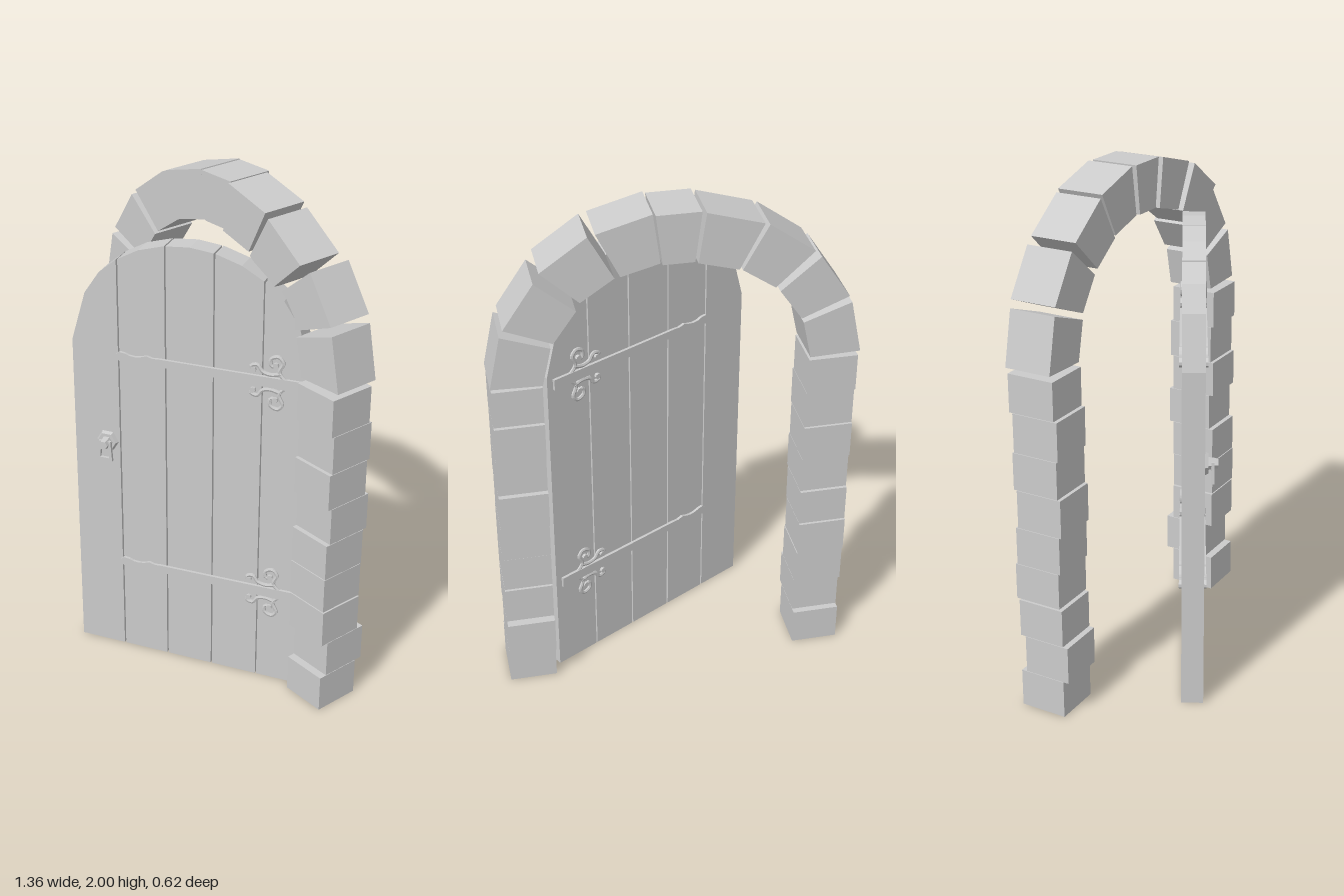
import * as THREE from 'three';

const material = new THREE.MeshStandardMaterial({ color: 0xcccccc, flatShading: true });
const SPRING = 1.36, DOOR_T = 0.085, DOOR_W = 0.955;

function add(parent, name, geometry, x = 0, y = 0, z = 0) {
  const mesh = new THREE.Mesh(geometry, material);
  mesh.name = name;
  mesh.position.set(x, y, z);
  parent.add(mesh);
  return mesh;
}

// Flat outline given as [x, y] corners, pushed out along +z
function slab(points, depth, hole) {
  const toV = (p) => new THREE.Vector2(p[0], p[1]);
  const shape = new THREE.Shape(points.map(toV));
  if (hole) shape.holes.push(new THREE.Path(hole.map(toV)));
  return new THREE.ExtrudeGeometry(shape, { depth, bevelEnabled: false });
}

function createPiers() {
  const piers = new THREE.Group();
  piers.name = 'piers';
  const levels = [0, 0.152, 0.304, 0.456, 0.606, 0.756, 0.908, 1.056, 1.21, SPRING];
  // front face z of each stone, from the ground up
  const fronts = {
    left: [-0.095, -0.125, -0.095, -0.093, -0.095, -0.112, -0.095, -0.107, -0.095],
    right: [-0.1, -0.077, -0.098, -0.108, -0.1, -0.09, -0.102, -0.095, -0.108],
  };
  for (const [side, sign] of [['left', 1], ['right', -1]]) {
    fronts[side].forEach((front, i) => {
      const y0 = levels[i] + (i === 3 ? 0.006 : i ? 0.001 : 0), h = levels[i + 1] - 0.001 - y0;
      add(piers, side + 'PierStone', new THREE.BoxGeometry(0.184, h, 0.188),
        sign * 0.581, y0 + h / 2, front - 0.094);
    });
  }
  return piers;
}

function createArch() {
  const arch = new THREE.Group();
  arch.name = 'arch';
  // start angle, end angle (degrees from the right side), front z
  const stones = [
    [1.8, 19.8, -0.115], [22.5, 40, -0.12], [43, 61, -0.12], [62.8, 81.8, -0.125], [83, 97.4, -0.115],
    [98, 116.3, -0.1], [118.8, 137, -0.09], [140, 157.5, -0.115], [160.2, 178.2, -0.11],
  ];
  const at = (deg, rx, ry) => {
    const a = THREE.MathUtils.degToRad(deg);
    const r = 1 / Math.hypot(Math.cos(a) / rx, Math.sin(a) / ry);
    return [-r * Math.cos(a), SPRING + r * Math.sin(a)];
  };
  for (const [a, b, front] of stones) {
    const corners = [at(a, 0.49, 0.455), at(a, 0.678, 0.645), at(b, 0.678, 0.645), at(b, 0.49, 0.455)];
    add(arch, 'archStone', slab(corners, 0.186), 0, 0, front - 0.186);
  }
  return arch;
}

// Arched outline of the door top, sampled for each plank
const half = DOOR_W / 2;
const topHalf = [[0, 1.8], [0.1, 1.79], [0.2, 1.76], [0.29, 1.71], [0.36, 1.65], [0.42, 1.56], [half, SPRING]];
const profile = [...topHalf.slice(1).reverse().map(([x, y]) => [-x, y]), ...topHalf];
function topAt(x) {
  const i = Math.max(1, profile.findIndex((p) => p[0] >= x - 1e-6));
  const [a, b] = [profile[i - 1], profile[i]];
  return a[1] + (b[1] - a[1]) * (x - a[0]) / (b[0] - a[0]);
}

function createStrap(name, y, z) {
  const strap = new THREE.Group();
  strap.name = name;
  strap.position.set(0, y, z);
  // Wavy bar with a pointed leaf tip
  const upper = [[-0.295, 0.006], [-0.28, 0.019], [-0.255, 0.016], [-0.24, 0.01], [-0.215, 0.008],
    [-0.19, 0.013], [-0.17, 0.02], [-0.145, 0.014], [-0.12, 0.016], [0.2, 0.019], [0.452, 0.022]];
  const lower = upper.map(([x, h]) => [x, -h]).reverse();
  add(strap, 'strapBar', slab([...upper, ...lower], 0.012), 0, 0, -0.006);
  // Scrolls above and below the bar
  const scrolls = [
    [[0.38, 0.01], [0.352, 0.045], [0.366, 0.085], [0.347, 0.106], [0.318, 0.092], [0.322, 0.065], [0.34, 0.07]],
    [[0.36, 0.04], [0.32, 0.03], [0.288, 0.038], [0.268, 0.062], [0.243, 0.054], [0.252, 0.038]],
  ];
  for (const sign of [1, -1]) {
    for (const path of scrolls) {
      const curve = new THREE.CatmullRomCurve3(path.map(([x, h]) => new THREE.Vector3(x, sign * h, 0)));
      add(strap, 'strapScroll', new THREE.TubeGeometry(curve, 24, 0.008, 6)).scale.z = 0.75;
    }
    for (const [x, h] of [[0.338, 0.07], [0.252, 0.042]]) {
      const curlEnd = add(strap, 'scrollEnd', new THREE.CylinderGeometry(0.011, 0.011, 0.012, 8), x, sign * h);
      curlEnd.rotation.x = Math.PI / 2;
    }
  }
  return strap;
}

function createHandle() {
  const handle = new THREE.Group();
  handle.name = 'handle';
  handle.position.set(-0.34, 0.95, 0);
  const disc = (name, r0, r1, depth, z) => {
    const mesh = add(handle, name, new THREE.CylinderGeometry(r1, r0, depth, 6), 0, 0, z + depth / 2);
    mesh.rotation.set(Math.PI / 2, Math.PI / 6, 0);
  };
  disc('handlePlate', 0.045, 0.038, 0.014, 0);
  disc('handleBoss', 0.024, 0.018, 0.036, 0.014);
  // Square drop ring hanging from the boss
  const outer = [[-0.025, 0.012], [-0.031, -0.072], [0.031, -0.072], [0.025, 0.012]];
  const inner = [[-0.014, 0], [-0.019, -0.06], [0.019, -0.06], [0.014, 0]];
  add(handle, 'dropRing', slab(outer, 0.012, inner), 0, 0, 0.024);
  return handle;
}

function createDoor() {
  const door = new THREE.Group();
  door.name = 'door';
  const count = 5, width = DOOR_W / count;
  for (let i = 0; i < count; i++) {
    const x0 = -half + i * width + (i ? 0.003 : 0);
    const x1 = -half + (i + 1) * width - (i < count - 1 ? 0.003 : 0);
    const crown = profile.filter(([x]) => x > x0 + 1e-4 && x < x1 - 1e-4).reverse();
    const outline = [[x0, 0], [x1, 0], [x1, topAt(x1)], ...crown, [x0, topAt(x0)]];
    add(door, 'plank', slab(outline, DOOR_T), 0, 0, -DOOR_T);
  }
  // Core closing the joints between planks
  add(door, 'doorCore', new THREE.BoxGeometry(width * 3 + 0.02, 1.69, DOOR_T - 0.03), 0, 0.845, -DOOR_T / 2);
  // Straps on both faces
  for (const y of [0.41, 1.325]) {
    door.add(createStrap('frontStrap', y, 0.005), createStrap('backStrap', y, -DOOR_T - 0.005));
  }
  door.add(createHandle());
  // Standing ajar
  door.position.set(0.09, 0, 0.08);
  door.rotation.y = THREE.MathUtils.degToRad(29);
  return door;
}

export function createModel() {
  const model = new THREE.Group();
  model.name = 'archedDoorway';
  model.add(createPiers(), createArch(), createDoor());
  return model;
}
